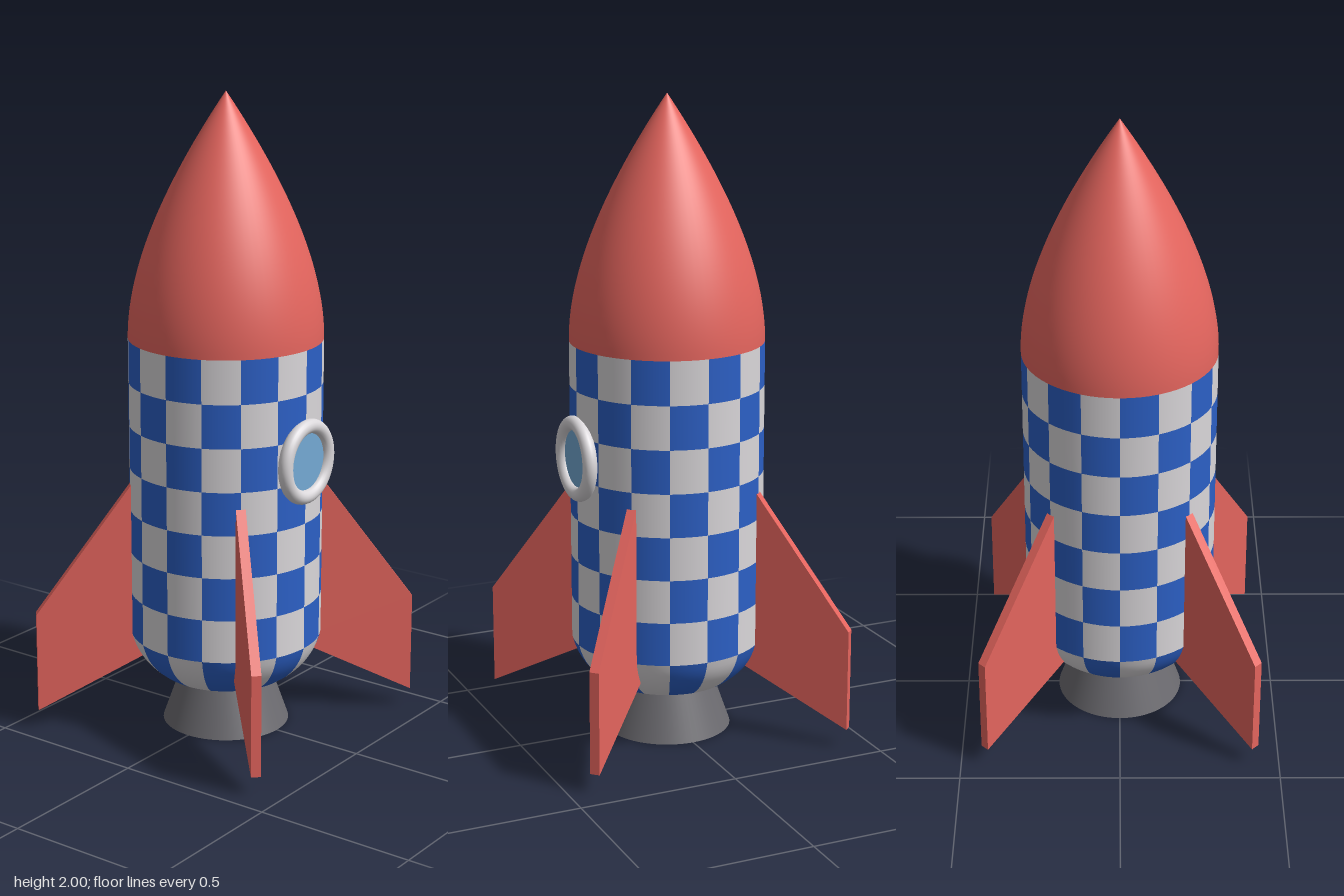
import * as THREE from 'three';
import { mergeGeometries, toCreasedNormals } from 'three/addons/utils/BufferGeometryUtils.js';

const paint = (name, color) => {
  const m = new THREE.MeshStandardMaterial({ color });
  m.name = name;
  return m;
};
const v = (x, y) => new THREE.Vector2(x, y);

export function createModel() {
  const rocket = new THREE.Group();
  rocket.name = 'rocket';
  const red = paint('red', 0xe5655e);
  const blue = paint('blue', 0x2c60c6);
  const white = paint('white', 0xdad7da);
  const grey = paint('grey', 0x6c6b70);
  const glass = paint('glass blue', 0x74a9d4);

  const add = (name, geometry, material, parent = rocket) => {
    const mesh = new THREE.Mesh(geometry, material);
    mesh.name = name;
    parent.add(mesh);
    return mesh;
  };

  // Hull: chequered rows, listed from the top down, each profile running upwards
  const top = 1.25, bottom = 0.3, rowCount = 7, columns = 16;
  const step = (top - bottom) / rowCount;
  const rows = [];
  for (let i = 0; i < rowCount; i++) {
    rows.push([v(0.3, top - (i + 1) * step), v(0.3, top - i * step)]);
  }
  rows.push(new THREE.QuadraticBezierCurve(v(0.2, 0.165), v(0.28, 0.215), v(0.3, bottom)).getPoints(8));
  rows.push([v(0, 0.165), v(0.2, 0.165)]); // underside

  const tiles = [[], []];
  const angle = (Math.PI * 2) / columns;
  rows.forEach((profile, r) => {
    for (let c = 0; c < columns; c++) {
      tiles[(r + c) % 2].push(new THREE.LatheGeometry(profile, 4, c * angle, angle));
    }
  });
  const hull = new THREE.Group();
  hull.name = 'hull';
  rocket.add(hull);
  add('blueTiles', mergeGeometries(tiles[0]), blue, hull);
  add('whiteTiles', mergeGeometries(tiles[1]), white, hull);

  // Nose cone
  const noseCurve = new THREE.QuadraticBezierCurve(v(0.3, top), v(0.3, 1.55), v(0, 2));
  add('noseCone', new THREE.LatheGeometry(noseCurve.getPoints(32), 64), red);

  // Hollow engine nozzle: inner wall, rim, outer wall
  const nozzle = new THREE.LatheGeometry([v(0.11, 0.17), v(0.165, 0), v(0.2, 0), v(0.14, 0.17)], 64);
  add('nozzle', toCreasedNormals(nozzle, 0.5), grey);

  // Porthole on the front
  const porthole = new THREE.Group();
  porthole.name = 'porthole';
  porthole.position.set(0, 0.905, 0.303);
  rocket.add(porthole);
  add('portholeRing', new THREE.TorusGeometry(0.11, 0.0225, 20, 56), white, porthole);
  add('portholeGlass', new THREE.CircleGeometry(0.11, 48), glass, porthole).position.z = 0.002;

  // Four diagonal fins
  const outline = new THREE.Shape([v(0.22, 0.25), v(0.6, 0.06), v(0.6, 0.38), v(0.285, 0.81), v(0.22, 0.81)]);
  const finGeometry = new THREE.ExtrudeGeometry(outline, { depth: 0.03, bevelEnabled: false });
  finGeometry.translate(0, 0, -0.015);
  for (let i = 0; i < 4; i++) {
    add('fin' + (i + 1), finGeometry, red).rotation.y = Math.PI / 4 + (i * Math.PI) / 2;
  }

  return rocket;
}
